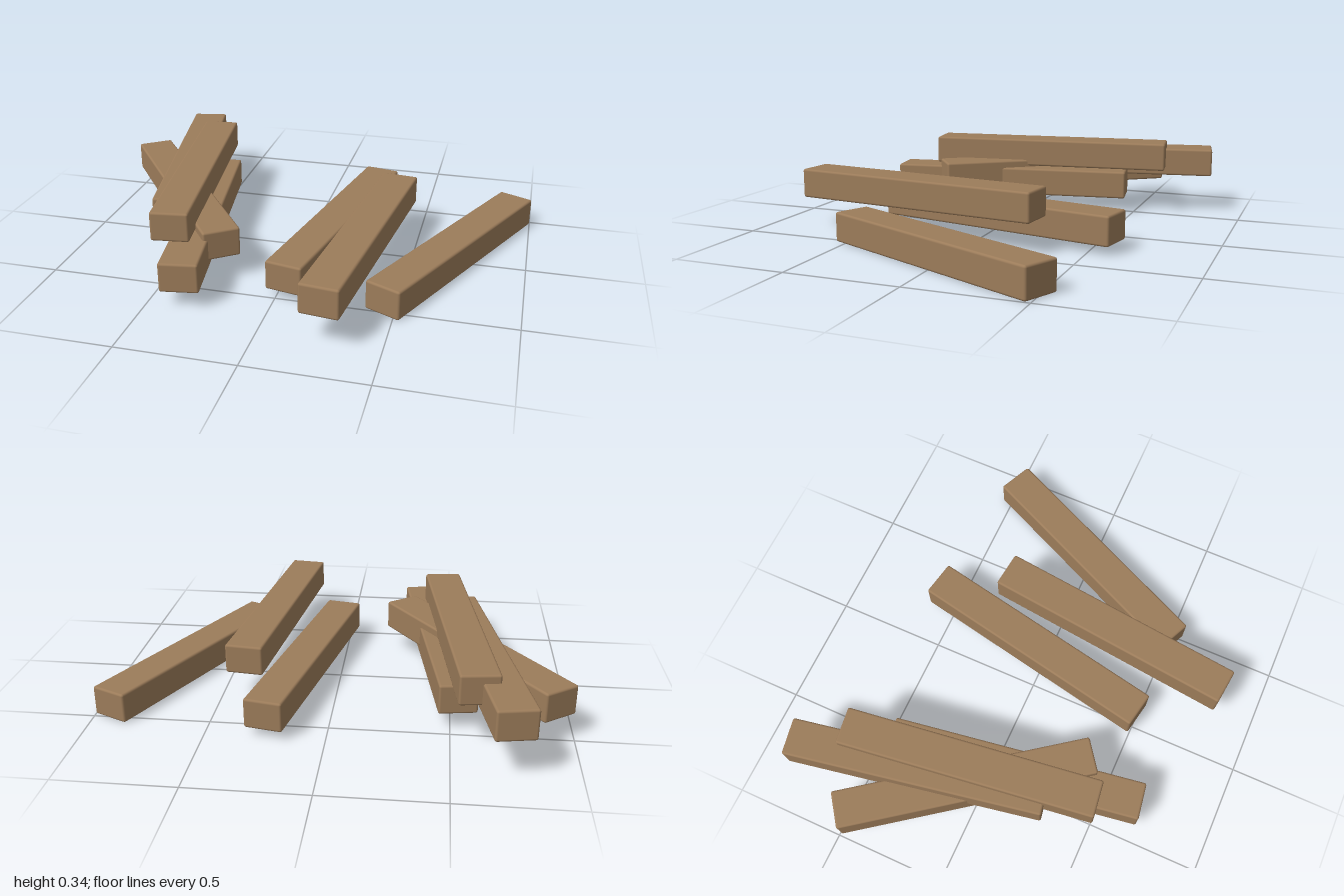
import * as THREE from 'three';
import { RoundedBoxGeometry } from 'three/addons/geometries/RoundedBoxGeometry.js';

// Loose timber beams: name, centre x, y, z and turn about the vertical axis
const BEAMS = [
  ['rightOuterBeam', 0.688, 0.069, 0.003, -0.432],
  ['rightTopBeam', 0.323, 0.206, 0.254, -0.113],
  ['rightInnerBeam', 0.146, 0.105, -0.051, -0.194],
  ['leftBottomBeam', -0.442, 0.14, 0.11, 0.156],
  ['leftCrossBeam', -0.596, 0.174, -0.056, 0.635],
  ['leftRearBeam', -0.631, 0.24, -0.27, 0.185],
  ['leftTopBeam', -0.528, 0.275, -0.064, 0.134],
];

export function createModel() {
  const model = new THREE.Group();
  model.name = 'timberPile';

  const wood = new THREE.MeshStandardMaterial({ color: 0x9c7c5a });
  // One softened-edge beam shared by the whole pile
  const beam = new RoundedBoxGeometry(0.165, 0.13, 1.14, 2, 0.01);

  for (const [name, x, y, z, turn] of BEAMS) {
    const mesh = new THREE.Mesh(beam, wood);
    mesh.name = name;
    mesh.position.set(x, y, z);
    mesh.rotation.y = turn;
    model.add(mesh);
  }
  return model;
}
